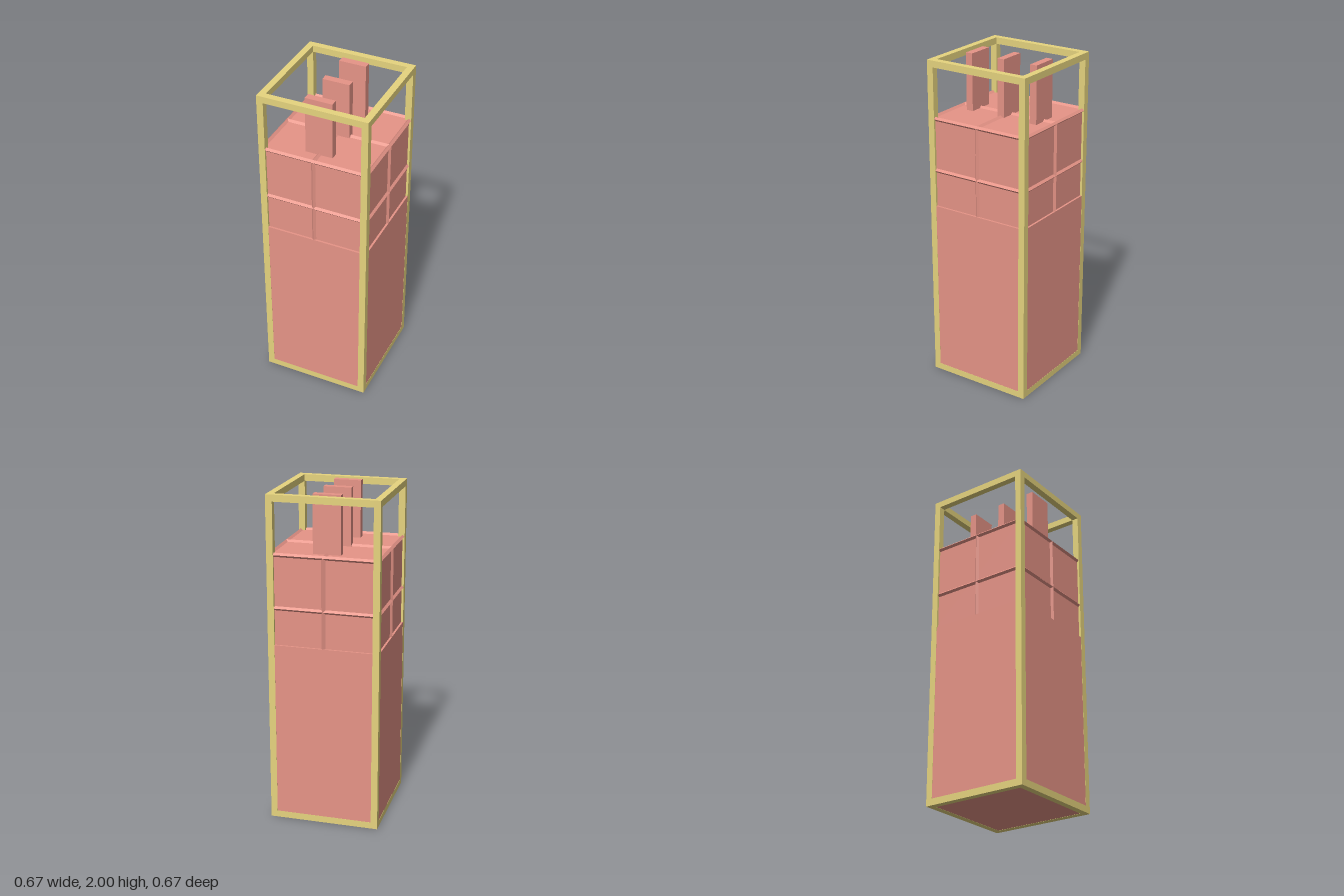
import * as THREE from 'three';

export function createModel() {
  const model = new THREE.Group();
  const clay = new THREE.MeshStandardMaterial({ color: 0xe69487 });
  clay.name = 'clay red';
  const olive = new THREE.MeshStandardMaterial({ color: 0xe6d47e });
  olive.name = 'olive';

  function box(name, material, size, position, parent = model) {
    const mesh = new THREE.Mesh(new THREE.BoxGeometry(...size), material);
    mesh.name = name;
    mesh.position.set(...position);
    parent.add(mesh);
    return mesh;
  }

  const W = 0.3333; // half width of the frame
  const B = 0.04; // bar thickness
  const H = 2;
  const c = W - B / 2; // bar centre line

  // Square frame: four posts joined by rails at top and bottom
  const frame = new THREE.Group();
  frame.name = 'frame';
  model.add(frame);
  for (const s of [-1, 1]) {
    for (const t of [-1, 1]) box('post', olive, [B, H, B], [s * c, H / 2, t * c], frame);
    for (const y of [B / 2, H - B / 2]) {
      box('crossRail', olive, [2 * (W - B), B, B], [0, y, s * c], frame);
      box('sideRail', olive, [B, B, 2 * (W - B)], [s * c, y, 0], frame);
    }
  }

  // Solid lower body, almost flush with the frame
  const inset = 0.001;
  const bodyTop = 1.112;
  box('lowerBody', clay, [2 * (W - inset), bodyTop - inset, 2 * (W - inset)],
    [0, (bodyTop + inset) / 2, 0]);

  // Upper block, set back only by the height of its trim
  const R = 0.32;
  const blockTop = 1.652;
  const blockHeight = blockTop - bodyTop;
  const blockMiddle = (blockTop + bodyTop) / 2;
  box('upperBlock', clay, [2 * R, blockHeight, 2 * R], [0, blockMiddle, 0]);

  // Square rods turned on edge, half sunk into the block
  const rod = 0.0125 * Math.SQRT2;
  const turn = Math.PI / 4;
  for (let i = 0; i < 4; i++) {
    const side = new THREE.Group();
    side.name = 'blockSide';
    side.rotation.y = i * Math.PI / 2;
    model.add(side);
    for (const [name, y] of [['topEdgeRod', blockTop], ['horizontalRod', 1.335]]) {
      box(name, clay, [2 * R, rod, rod], [0, y, R], side).rotation.x = turn;
    }
    box('verticalRod', clay, [rod, blockHeight, rod], [0, blockMiddle, R], side).rotation.y = turn;
  }

  // Crossing rods on the top face
  box('topCrossRod', clay, [2 * R, rod, rod], [0, blockTop, 0]).rotation.x = turn;
  box('topLongRod', clay, [rod, rod, 2 * R], [0, blockTop, 0]).rotation.z = turn;

  // Three upright slabs reaching the top of the frame
  const slabTop = 1.999;
  for (const z of [-0.222, 0, 0.222]) {
    box('slab', clay, [0.166, slabTop - blockTop, 0.044], [0, (slabTop + blockTop) / 2, z]);
  }

  return model;
}
